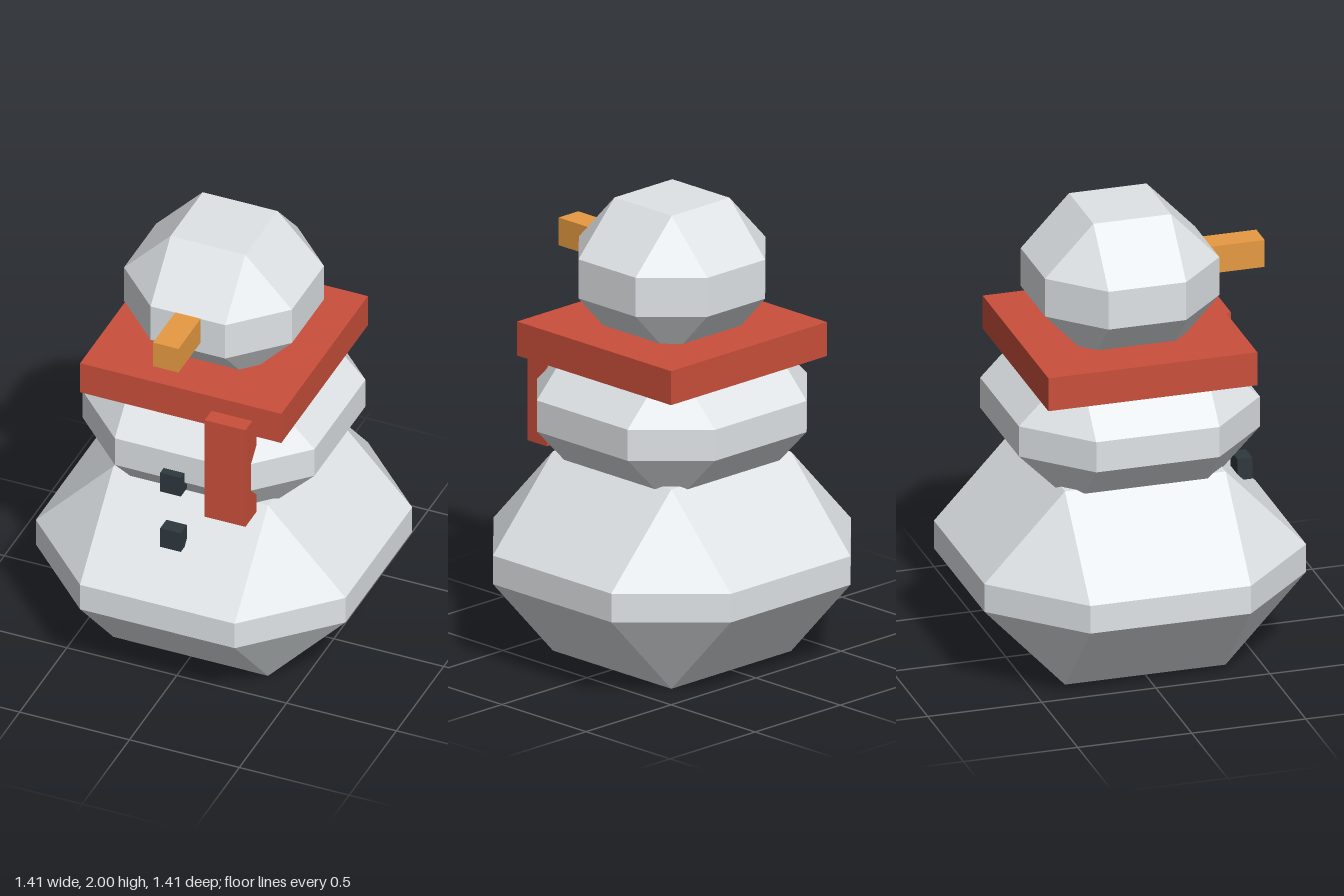
import * as THREE from 'three';
import { ConvexGeometry } from 'three/addons/geometries/ConvexGeometry.js';

const material = (name, color, flatShading = false) => {
  const m = new THREE.MeshStandardMaterial({ color, flatShading });
  m.name = name;
  return m;
};

// Faceted ball: an octagonal belt between two square caps.
// r = half width, a = half width of the flats, ys = [bottom, belt low, belt high, top]
function snowball(name, r, a, ys, mat) {
  const points = [];
  for (const sx of [-1, 1]) {
    for (const sz of [-1, 1]) {
      for (const y of [ys[0], ys[3]]) points.push(new THREE.Vector3(sx * a, y, sz * a));
      for (const y of [ys[1], ys[2]]) {
        points.push(new THREE.Vector3(sx * r, y, sz * a));
        points.push(new THREE.Vector3(sx * a, y, sz * r));
      }
    }
  }
  const mesh = new THREE.Mesh(new ConvexGeometry(points), mat);
  mesh.name = name;
  return mesh;
}

// Box given by its lowest and highest corners
function block(name, min, max, mat) {
  const size = max.map((v, i) => v - min[i]);
  const mesh = new THREE.Mesh(new THREE.BoxGeometry(...size), mat);
  mesh.position.set(...max.map((v, i) => (v + min[i]) / 2));
  mesh.name = name;
  return mesh;
}

export function createModel() {
  const snow = material('snow', 0xdfe3e6, true);
  const red = material('scarf red', 0xca4f3b);
  const orange = material('carrot orange', 0xe69a42);
  const coal = material('coal', 0x2f383e);

  const group = new THREE.Group();
  group.name = 'snowman';

  // Three stacked snowballs
  group.add(
    snowball('base', 0.705, 0.352, [0, 0.377, 0.503, 0.88], snow),
    snowball('torso', 0.528, 0.27, [0.767, 1.028, 1.165, 1.426], snow),
    snowball('head', 0.382, 0.17, [1.38, 1.605, 1.777, 2], snow),
  );

  // Scarf with its tail hanging on the left
  group.add(
    block('scarf', [-0.458, 1.302, -0.458], [0.458, 1.452, 0.458], red),
    block('scarfTail', [0.14, 0.88, 0.415], [0.326, 1.378, 0.531], red),
  );

  // Carrot nose
  group.add(block('nose', [-0.058, 1.656, 0.36], [0.058, 1.778, 0.616], orange));

  // Coal buttons
  for (const y of [0.742, 1.028]) {
    group.add(block('button', [-0.047, y - 0.048, 0.5], [0.047, y + 0.048, 0.566], coal));
  }
  return group;
}
